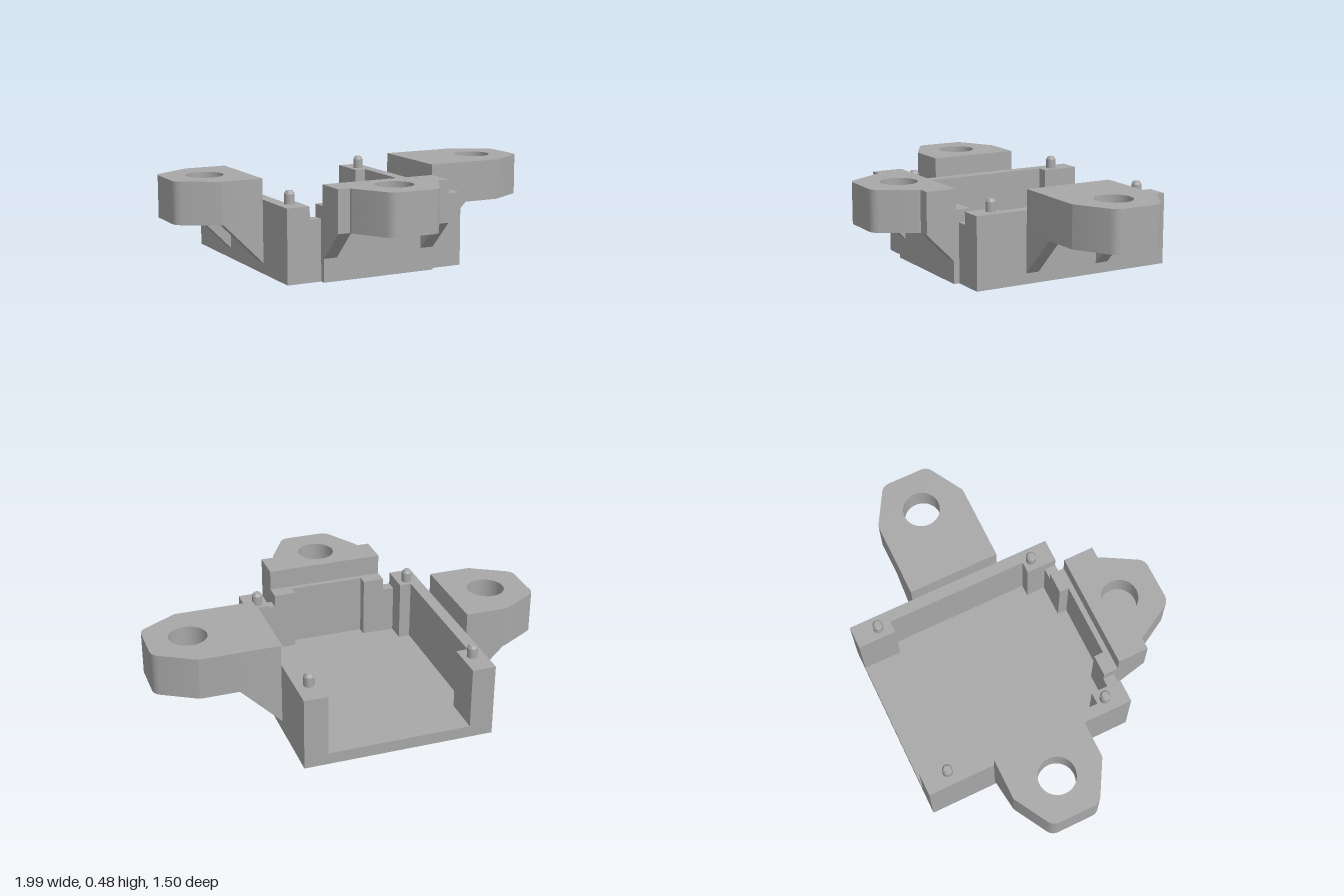
import * as THREE from 'three';
import { toCreasedNormals } from 'three/addons/utils/BufferGeometryUtils.js';

const CENTRE_X = -0.095; // the tray sits off centre
const LUG_BOTTOM = 0.265, LUG_TOP = 0.48, POCKET_TOP = 0.355, WALL_TOP = 0.375, FLOOR = 0.06;

export function createModel() {
  const grey = new THREE.MeshStandardMaterial({ color: 0xa8a8a8 });
  grey.name = 'plain grey';
  const model = new THREE.Group();
  model.name = 'mountingTray';

  const add = (parent, name, geometry) => {
    const mesh = new THREE.Mesh(geometry, grey);
    mesh.name = name;
    parent.add(mesh);
    return mesh;
  };

  // Plan outlines are given as [x, z] and raised from y0 to y1
  const raise = (shape, y0, y1) => {
    const g = new THREE.ExtrudeGeometry(shape, { depth: y1 - y0, bevelEnabled: false, curveSegments: 24 });
    g.rotateX(-Math.PI / 2).translate(0, y0, 0);
    return toCreasedNormals(g, 0.5);
  };
  const plan = (points) => new THREE.Shape(points.map(([x, z]) => new THREE.Vector2(x, -z)));
  const rect = (x0, x1, z0, z1) => plan([[x0, z0], [x1, z0], [x1, z1], [x0, z1]]);

  // Open-backed tray
  const tray = new THREE.Group();
  tray.name = 'tray';
  tray.position.x = CENTRE_X;
  model.add(tray);
  add(tray, 'floor', raise(rect(-0.485, 0.485, -0.75, 0.36), 0, FLOOR));

  const pinProfile = [[0, 0], [0.026, 0], [0.026, 0.05], [0.017, 0.065], [0, 0.065]]
    .map(([r, y]) => new THREE.Vector2(r, y));
  const pinGeometry = toCreasedNormals(new THREE.LatheGeometry(pinProfile, 24), 0.5);

  for (const s of [-1, 1]) {
    // Side wall with a thick post at each end
    const wall = [[0.485, -0.75], [0.485, 0.36], [0.365, 0.36], [0.365, 0.2],
      [0.425, 0.2], [0.425, -0.55], [0.365, -0.55], [0.365, -0.75]];
    add(tray, 'sideWall', raise(plan(wall.map(([x, z]) => [s * x, z])), FLOOR, WALL_TOP));
    // Notched piece between the front post and the front wall
    add(tray, 'frontNotch', raise(rect(s * 0.305, s * 0.365, 0.3, 0.36), FLOOR, 0.31));
    // Locating pins on the posts
    for (const z of [-0.62, 0.245]) {
      add(tray, 'locatingPin', pinGeometry).position.set(s * 0.418, WALL_TOP, z);
    }
  }

  // Front wall, thinner in the middle
  add(tray, 'frontWall', raise(plan([[-0.305, 0.39], [0.305, 0.39], [0.305, 0.3], [0.195, 0.3],
    [0.195, 0.35], [-0.195, 0.35], [-0.195, 0.3], [-0.305, 0.3]]), 0, WALL_TOP));

  // Lug outline: hole at the origin, tip towards +x, softened corners
  const lugShape = (back, shoulder) => {
    const pts = [[-back, -0.24], [0.01, -0.24], [0.21, -0.125], [0.21, 0.125], [0.01, 0.24], [-back, 0.24]];
    if (shoulder) {
      pts.splice(1, 0, [0, -0.24]);
      pts.splice(-1, 0, [0, 0.24]);
      pts[0][1] = -0.305;
      pts[pts.length - 1][1] = 0.305;
      pts.splice(1, 0, [0, -0.305]);
      pts.splice(-1, 0, [0, 0.305]);
    }
    const v = pts.map(([x, z]) => new THREE.Vector2(x, z));
    const shape = new THREE.Shape();
    v.forEach((p, i) => {
      const rounded = p.x > 0.005;
      if (!rounded) return i ? shape.lineTo(p.x, p.y) : shape.moveTo(p.x, p.y);
      const r = p.x > 0.1 ? 0.035 : 0.01;
      const a = v[i - 1].clone().sub(p).setLength(r).add(p);
      const b = v[i + 1].clone().sub(p).setLength(r).add(p);
      shape.lineTo(a.x, a.y);
      shape.quadraticCurveTo(p.x, p.y, b.x, b.y);
    });
    shape.closePath();
    return shape;
  };

  const addLug = (name, x, z, angle, back, ribLength, ribOuter, shoulder) => {
    const lug = new THREE.Group();
    lug.name = name;
    lug.position.set(x, 0, z);
    lug.rotation.y = angle;
    model.add(lug);

    // Upper part with the bolt hole
    const upper = lugShape(back, shoulder);
    upper.holes.push(new THREE.Path().absarc(0, 0, 0.095, 0, Math.PI * 2, true));
    add(lug, 'lugUpper', raise(upper, POCKET_TOP, LUG_TOP));

    // Lower part with the hexagonal nut pocket
    const lower = lugShape(back, shoulder);
    const hex = [];
    for (let i = 0; i < 6; i++) {
      const a = -i * Math.PI / 3;
      hex.push(new THREE.Vector2(0.168 * Math.cos(a), 0.168 * Math.sin(a)));
    }
    lower.holes.push(new THREE.Path(hex));
    add(lug, 'lugLower', raise(lower, LUG_BOTTOM, POCKET_TOP));

    // Triangular ribs beneath both edges
    const rib = new THREE.Shape([
      new THREE.Vector2(-back, LUG_BOTTOM),
      new THREE.Vector2(-back, LUG_BOTTOM - ribLength),
      new THREE.Vector2(-back + ribLength, LUG_BOTTOM),
    ]);
    const ribGeometry = new THREE.ExtrudeGeometry(rib, { depth: 0.07, bevelEnabled: false });
    for (const z0 of [-ribOuter, ribOuter - 0.07]) add(lug, 'supportRib', ribGeometry).position.z = z0;
  };

  addLug('leftLug', 0.787, -0.16, 0, 0.397, 0.21, 0.24, false);
  addLug('rightLug', -0.787, -0.16, Math.PI, 0.207, 0.21, 0.24, false);
  addLug('frontLug', CENTRE_X, 0.537, -Math.PI / 2, 0.16, 0.16, 0.305, true);

  return model;
}
